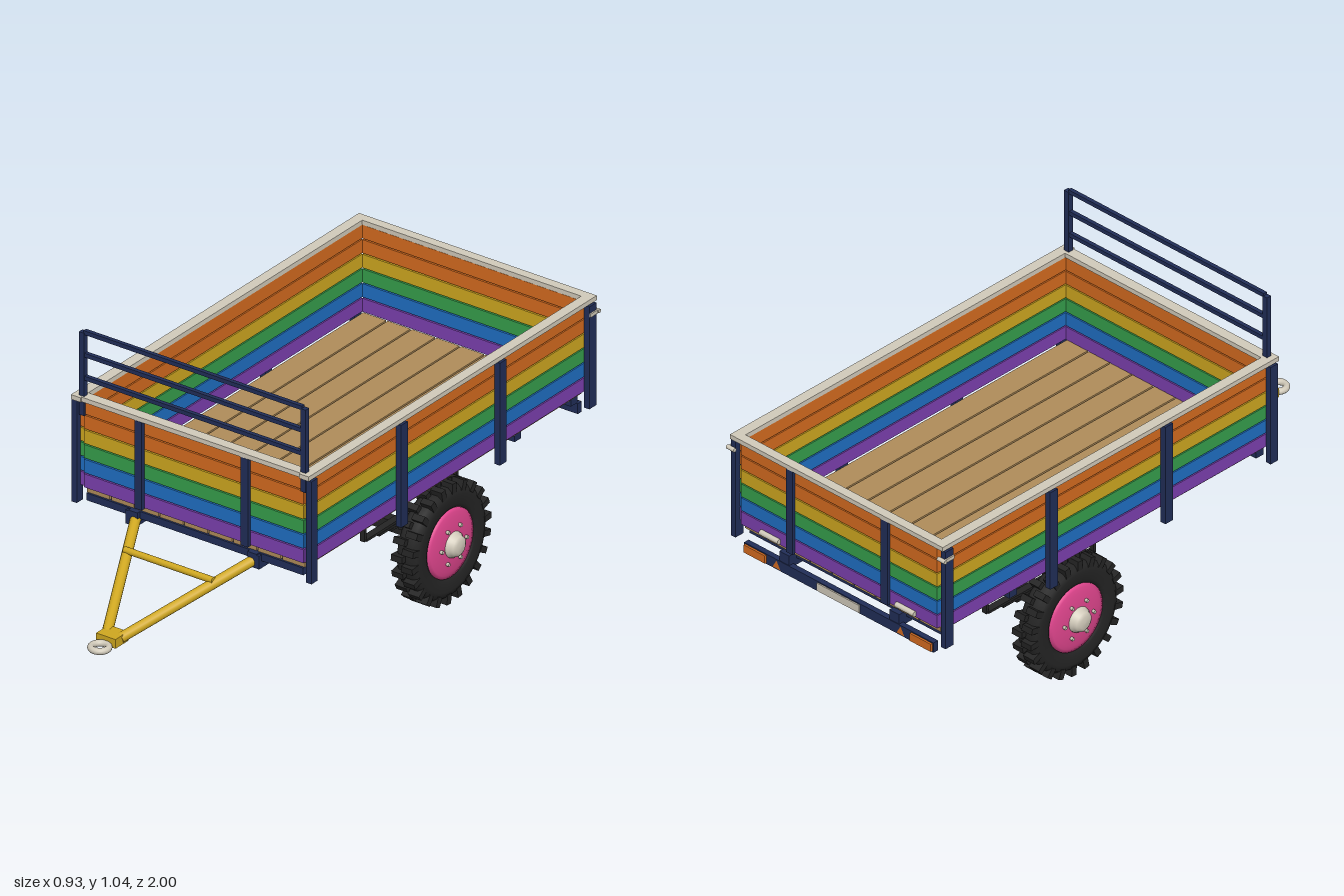
import * as THREE from 'three';

const mat = (name, color) => Object.assign(new THREE.MeshStandardMaterial({ color }), { name });
const navy = mat('navy', 0x212e58), orange = mat('orange', 0xd66c1f), yellow = mat('yellow', 0xd0a820);
const green = mat('green', 0x36a04c), blue = mat('blue', 0x1f70c4), purple = mat('purple', 0x7c40b0);
const wood = mat('wood', 0xb08d5a), cream = mat('cream', 0xd2cbbb), black = mat('black', 0x242424);
const pink = mat('pink', 0xe2468f);

export function createModel() {
  const root = new THREE.Group();
  root.name = 'trailer';

  const mesh = (parent, name, geo, m) => {
    const o = new THREE.Mesh(geo, m);
    o.name = name;
    parent.add(o);
    return o;
  };
  // box by its centre and size
  const box = (parent, name, m, x, y, z, w, h, d) => {
    const o = mesh(parent, name, new THREE.BoxGeometry(w, h, d), m);
    o.position.set(x, y, z);
    return o;
  };
  // round bar between two points
  const bar = (parent, name, m, a, b, r, seg = 14) => {
    const p = new THREE.Vector3(...a), q = new THREE.Vector3(...b), d = q.clone().sub(p);
    const o = mesh(parent, name, new THREE.CylinderGeometry(r, r, d.length(), seg), m);
    o.position.copy(p).add(q).multiplyScalar(0.5);
    o.quaternion.setFromUnitVectors(new THREE.Vector3(0, 1, 0), d.normalize());
    return o;
  };
  const group = (name) => {
    const g = new THREE.Group();
    g.name = name;
    root.add(g);
    return g;
  };

  // floor planks
  const floor = group('floor');
  for (let i = -4; i <= 4; i++) {
    box(floor, 'floorPlank', wood, i * 0.0935, 0.479, -0.252, 0.0875, 0.018, 1.426);
  }

  // striped plank walls, lowest row first
  const walls = group('walls');
  [purple, blue, green, yellow, orange, orange].forEach((m, i) => {
    const y = 0.514 + i * 0.051;
    for (const s of [-1, 1]) box(walls, 'sidePlank', m, s * 0.43, y, -0.25, 0.018, 0.0465, 1.43);
    box(walls, 'frontPlank', m, 0, y, 0.464, 0.84, 0.0465, 0.018);
    box(walls, 'tailgatePlank', m, 0, y, -0.972, 0.84, 0.0465, 0.018);
  });

  // posts outside the walls
  const posts = group('posts');
  for (const s of [-1, 1]) {
    for (const z of [0.004, -0.505]) box(posts, 'sidePost', navy, s * 0.449, 0.612, z, 0.02, 0.356, 0.034);
    box(posts, 'frontCornerPost', navy, s * 0.449, 0.612, 0.468, 0.02, 0.356, 0.032);
    box(posts, 'rearCornerPost', navy, s * 0.449, 0.612, -0.967, 0.02, 0.356, 0.036);
    box(posts, 'frontPost', navy, s * 0.203, 0.64, 0.479, 0.028, 0.306, 0.014);
    box(posts, 'tailgatePost', navy, s * 0.203, 0.64, -0.986, 0.028, 0.306, 0.012);
  }

  // capping rails
  const caps = group('caps');
  for (const s of [-1, 1]) box(caps, 'sideCap', cream, s * 0.437, 0.802, -0.25, 0.036, 0.016, 1.486);
  box(caps, 'frontCap', cream, 0, 0.802, 0.469, 0.84, 0.016, 0.036);
  box(caps, 'tailgateCap', cream, 0, 0.802, -0.977, 0.84, 0.016, 0.032);

  // front ladder rack
  const rack = group('frontRack');
  for (const s of [-1, 1]) box(rack, 'rackPost', navy, s * 0.424, 0.886, 0.471, 0.02, 0.288, 0.018);
  for (const y of [0.873, 0.953, 1.031]) box(rack, 'rackBar', navy, 0, y, 0.471, 0.836, 0.014, 0.014);

  // chassis
  const chassis = group('chassis');
  for (const s of [-1, 1]) box(chassis, 'mainBeam', navy, s * 0.235, 0.443, -0.25, 0.042, 0.046, 1.46);
  for (const z of [0.45, -0.64, -0.93]) box(chassis, 'crossBeam', navy, 0, 0.457, z, 0.83, 0.025, 0.034);

  // rear light bar
  const lights = group('rearLights');
  box(lights, 'lightBar', navy, 0, 0.413, -0.972, 0.81, 0.036, 0.02);
  box(lights, 'numberPlate', cream, 0, 0.413, -0.984, 0.18, 0.028, 0.005);
  const tri = new THREE.CircleGeometry(0.019, 3, Math.PI / 2);
  for (const s of [-1, 1]) {
    box(lights, 'lamp', orange, s * 0.355, 0.413, -0.985, 0.09, 0.028, 0.008);
    const t = mesh(lights, 'reflector', tri, orange);
    t.position.set(s * 0.265, 0.409, -0.9835);
    t.rotation.y = Math.PI;
    box(lights, 'lightBracket', navy, s * 0.235, 0.42, -0.965, 0.03, 0.03, 0.02);
  }

  // tailgate hinges and latches
  const fittings = group('tailgateFittings');
  for (const s of [-1, 1]) {
    bar(fittings, 'hinge', cream, [s * 0.25, 0.505, -0.987], [s * 0.33, 0.505, -0.987], 0.009);
    box(fittings, 'latchPlate', cream, s * 0.461, 0.76, -0.972, 0.006, 0.012, 0.045);
    bar(fittings, 'latchPin', cream, [s * 0.435, 0.76, -0.992], [s * 0.467, 0.76, -0.992], 0.007);
  }

  // A-frame drawbar with towing eye
  const draw = group('drawbar');
  for (const s of [-1, 1]) {
    bar(draw, 'drawbarArm', yellow, [s * 0.232, 0.444, 0.455], [s * 0.026, 0.282, 0.885], 0.017);
    box(draw, 'armMount', navy, s * 0.228, 0.452, 0.465, 0.035, 0.035, 0.03);
  }
  bar(draw, 'drawbarBrace', yellow, [-0.17, 0.406, 0.6], [0.17, 0.406, 0.6], 0.011);
  box(draw, 'couplingHead', yellow, 0, 0.281, 0.893, 0.074, 0.032, 0.066);
  const eye = mesh(draw, 'towingEye', new THREE.TorusGeometry(0.028, 0.011, 12, 32), cream);
  eye.rotation.x = Math.PI / 2;
  eye.position.set(0, 0.272, 0.957);

  // axle and leaf springs
  const axleZ = -0.332, axleY = 0.207;
  const axle = group('axle');
  box(axle, 'axleBeam', black, 0, axleY, axleZ, 0.6, 0.038, 0.038);
  for (const s of [-1, 1]) {
    const x = s * 0.227;
    box(axle, 'springSaddle', black, x, 0.238, axleZ, 0.042, 0.05, 0.06);
    [0.235, 0.17, 0.11].forEach((half, i) => {
      box(axle, 'springLeaf', black, x, 0.27 - i * 0.009, axleZ, 0.026, 0.008, half * 2);
    });
    for (const e of [-1, 1]) box(axle, 'springHanger', black, x, 0.346, axleZ + e * 0.237, 0.018, 0.16, 0.01);
  }

  // wheels, built along +x and turned round for the other side
  const R = 0.188;
  const lathe = (pts, seg = 48) =>
    new THREE.LatheGeometry(pts.map(([r, y]) => new THREE.Vector2(r, y)), seg).rotateZ(-Math.PI / 2);
  const tyreGeo = lathe([[0.112, -0.03], [0.13, -0.038], [0.16, -0.041], [0.178, -0.037], [R, -0.024], [R, 0.024],
    [0.178, 0.037], [0.16, 0.041], [0.13, 0.038], [0.112, 0.03], [0.112, -0.03]]);
  const rimGeo = lathe([[0, -0.03], [0.1, -0.028], [0.116, -0.034], [0.118, 0], [0.117, 0.036], [0.105, 0.038],
    [0.092, 0.043], [0.05, 0.047], [0, 0.047]]);
  const hubGeo = lathe([[0.044, 0.044], [0.042, 0.054], [0.036, 0.06], [0.033, 0.07], [0.022, 0.077], [0, 0.078]], 28);
  const lugGeo = new THREE.BoxGeometry(0.043, 0.034, 0.021);
  for (const s of [-1, 1]) {
    const wheel = group(s > 0 ? 'leftWheel' : 'rightWheel');
    wheel.position.set(s * 0.35, axleY, axleZ);
    wheel.rotation.y = s > 0 ? 0 : Math.PI;
    mesh(wheel, 'tyre', tyreGeo, black);
    mesh(wheel, 'rim', rimGeo, pink);
    mesh(wheel, 'hub', hubGeo, cream);
    bar(wheel, 'innerHub', black, [-0.06, 0, 0], [-0.025, 0, 0], 0.036, 24);
    // staggered tread lugs
    const count = 22;
    for (let i = 0; i < count * 2; i++) {
      const a = (i + 0.5) * Math.PI / count;
      const lug = mesh(wheel, 'treadLug', lugGeo, black);
      lug.position.set(i % 2 ? 0.0195 : -0.0195, Math.cos(a) * 0.188, Math.sin(a) * 0.188);
      lug.rotation.x = a;
    }
    // wheel nuts
    for (let i = 0; i < 6; i++) {
      const a = i * Math.PI / 3 + Math.PI / 6, y = Math.cos(a) * 0.064, z = Math.sin(a) * 0.064;
      bar(wheel, 'wheelNut', cream, [0.04, y, z], [0.056, y, z], 0.006, 6);
    }
  }
  return root;
}
